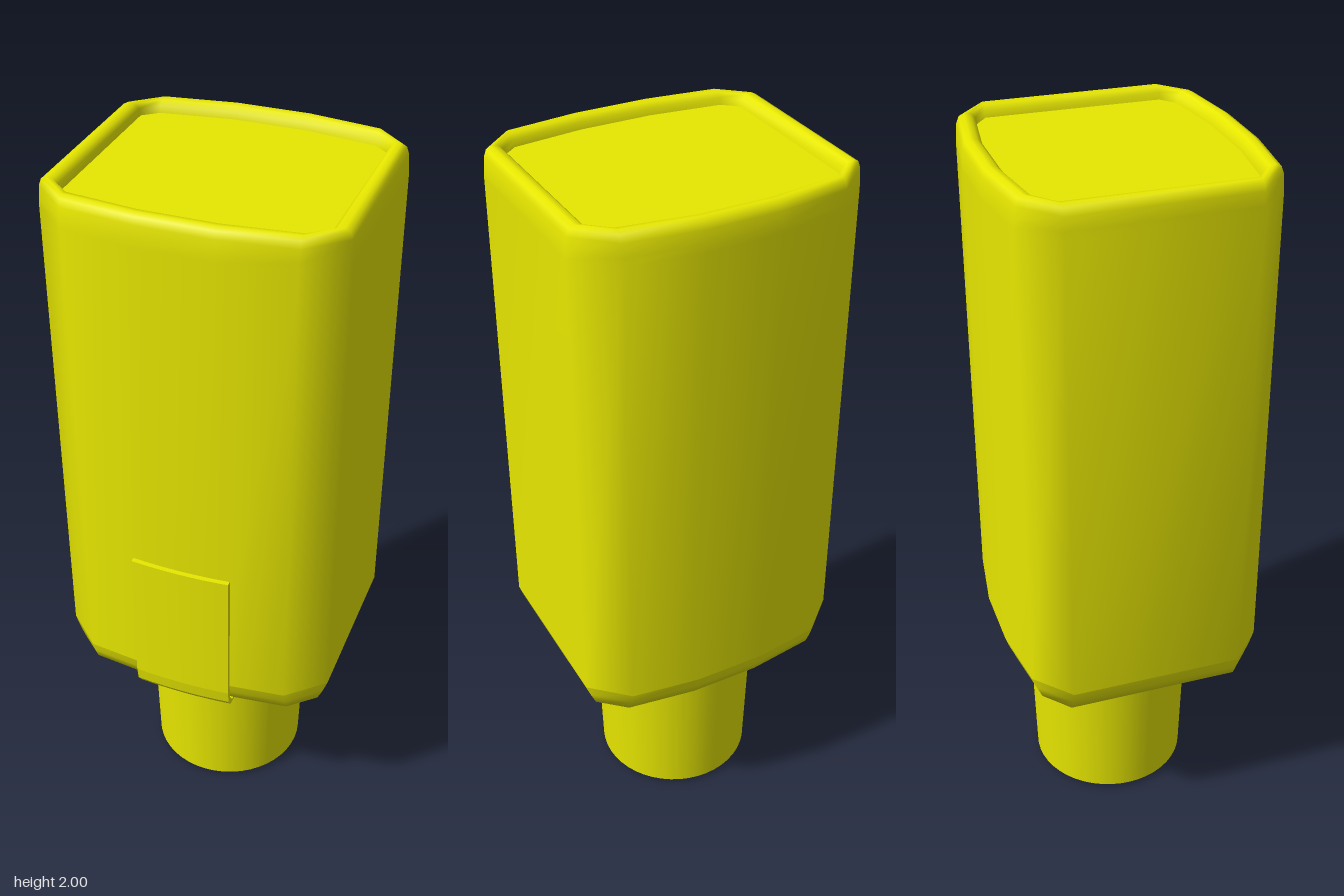
import * as THREE from 'three';

const yellow = new THREE.MeshStandardMaterial({ color: 0xe8e800, side: THREE.DoubleSide });
yellow.name = 'yellow';
const grey = new THREE.MeshStandardMaterial({ color: 0xb8b8b8 });
grey.name = 'grey';

// Right half of the body outline as [x, z], back to front; the left half is mirrored
const half = [[0.1, -0.37], [0.295, -0.342], [0.395, -0.25], [0.395, 0.235], [0.295, 0.327], [0.1, 0.35]];
const outline = [...half, ...half.map(([x, z]) => [-x, z]).reverse()];

// Side points move in along x, the others along z, which keeps the corners chamfered
function insetOutline(d) {
  return outline.map(([x, z]) => Math.abs(x) > 0.35
    ? [x - Math.sign(x) * d, z]
    : [x, z - Math.sign(z) * d]);
}

// Skin between outline rings given as [inset, y, scale], bottom to top
function loft(rings) {
  const n = outline.length, pos = [], index = [];
  for (const [d, y, s = 1] of rings) for (const [x, z] of insetOutline(d)) pos.push(x * s, y, z * s);
  for (let r = 0; r < rings.length - 1; r++) {
    for (let i = 0; i < n; i++) {
      const a = r * n + i, b = r * n + (i + 1) % n;
      index.push(a, a + n, b, b, a + n, b + n);
    }
  }
  const g = new THREE.BufferGeometry();
  g.setAttribute('position', new THREE.Float32BufferAttribute(pos, 3));
  g.setIndex(index);
  g.computeVertexNormals();
  return g;
}

// Strip bent under the body, bulging slightly forward at its middle
function clipGeometry() {
  const side = new THREE.Shape([
    [0.354, 0.97], [0.368, 0.97], [0.368, 0.56], [0.362, 0.52], [0.345, 0.496],
    [0.18, 0.496], [0.18, 0.506], [0.335, 0.506], [0.35, 0.53], [0.354, 0.57],
  ].map(([z, y]) => new THREE.Vector2(-z, y)));
  const g = new THREE.ExtrudeGeometry(side, { depth: 0.28, steps: 8, bevelEnabled: false });
  g.translate(0, 0, -0.14).rotateY(Math.PI / 2);
  const p = g.attributes.position;
  for (let i = 0; i < p.count; i++) p.setZ(i, p.getZ(i) - 0.35 * p.getX(i) ** 2);
  g.computeVertexNormals();
  return g;
}

export function createModel() {
  const model = new THREE.Group();
  model.name = 'model';
  const add = (name, geometry, material = yellow) => {
    const mesh = new THREE.Mesh(geometry, material);
    mesh.name = name;
    model.add(mesh);
    return mesh;
  };

  // Tall body with a rounded rim around a sunken top
  add('body', loft([
    [0, 0.575], [0, 1.92], [0.001, 1.94], [0.004, 1.975], [0.011, 1.993],
    [0.025, 2], [0.042, 1.997], [0.054, 1.985], [0.058, 1.965],
  ]));
  const top = new THREE.Shape(insetOutline(0.058).map(([x, z]) => new THREE.Vector2(x, -z)));
  add('topPanel', new THREE.ShapeGeometry(top).rotateX(-Math.PI / 2)).position.y = 1.967;

  // Softly rounded base running in under the body to the neck
  add('bodyBase', loft([[0.027, 0.505, 0.45], [0.027, 0.505], [0.012, 0.54], [0, 0.575]]));

  // Clip on the front
  add('frontClip', clipGeometry());

  // Round neck, open at its lower end
  add('neck', new THREE.CylinderGeometry(0.241, 0.226, 0.495, 48, 1, true)).position.set(0, 0.2585, -0.027);

  // Shallow domed end plate, sunk into the neck at its edge and touching the ground in the middle
  const dome = [[0, 0], [0.08, 0.008], [0.16, 0.018], [0.225, 0.028]].map(([r, y]) => new THREE.Vector2(r, y));
  add('neckEnd', new THREE.LatheGeometry(dome, 48), grey).position.z = -0.027;

  return model;
}
